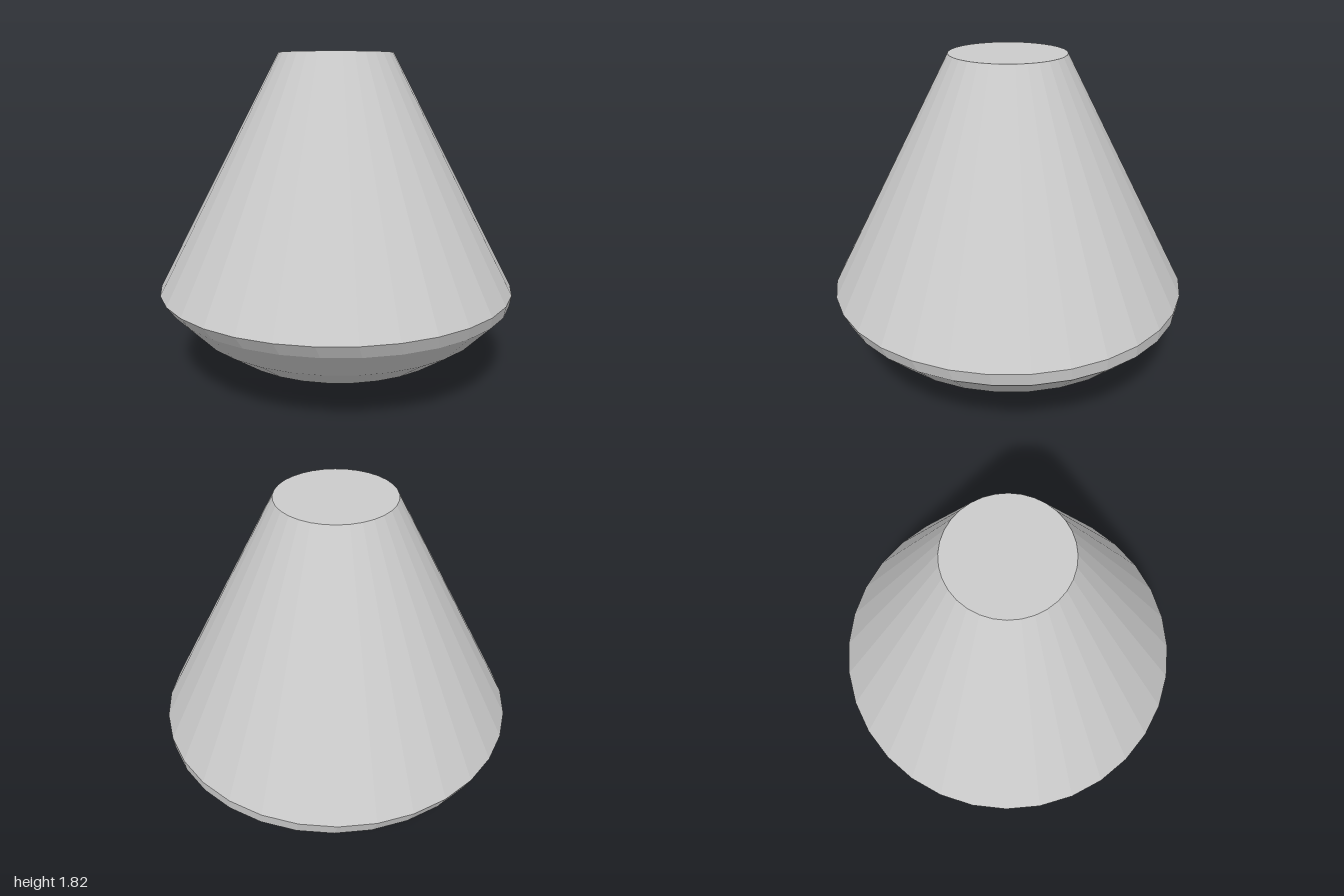
import * as THREE from 'three';

const SIDES = 32;
const DOME_SHIFT = 0.022; // heat shield sits slightly off the cone axis
const DOME_STEPS = 5;
const RIM_Y = 0.515;

export function createModel() {
  const group = new THREE.Group();
  const material = new THREE.MeshStandardMaterial({ color: 0xcccccc, flatShading: true });

  const add = (name, geometry) => {
    const mesh = new THREE.Mesh(geometry, material);
    mesh.name = name;
    group.add(mesh);
    return mesh;
  };
  const lathe = (points) =>
    new THREE.LatheGeometry(points.map(([r, y]) => new THREE.Vector2(r, y)), SIDES);

  // Bottom dome: the lower cap of a flattened sphere
  const domeProfile = [];
  for (let i = 0; i <= DOME_STEPS; i++) {
    const a = (i * Math.PI) / 16;
    domeProfile.push([1.17 * Math.sin(a), 1.003 * (1 - Math.cos(a))]);
  }
  add('heatShield', lathe(domeProfile)).position.x = DOME_SHIFT;

  // Narrow band joining the off-centre dome to the cone
  const [domeR, domeY] = domeProfile[DOME_STEPS];
  const band = lathe([[domeR, domeY], [1, RIM_Y]]);
  const p = band.attributes.position;
  for (let i = 0; i < p.count; i++) {
    if (p.getY(i) < RIM_Y - 0.01) p.setX(i, p.getX(i) + DOME_SHIFT);
  }
  add('rimBand', band);

  // Conical body and its flat top
  add('coneBody', lathe([[1, RIM_Y], [0.316, 1.815]]));
  const lid = new THREE.CircleGeometry(0.316, SIDES).rotateX(-Math.PI / 2);
  add('topPlate', lid).position.y = 1.815;

  return group;
}
